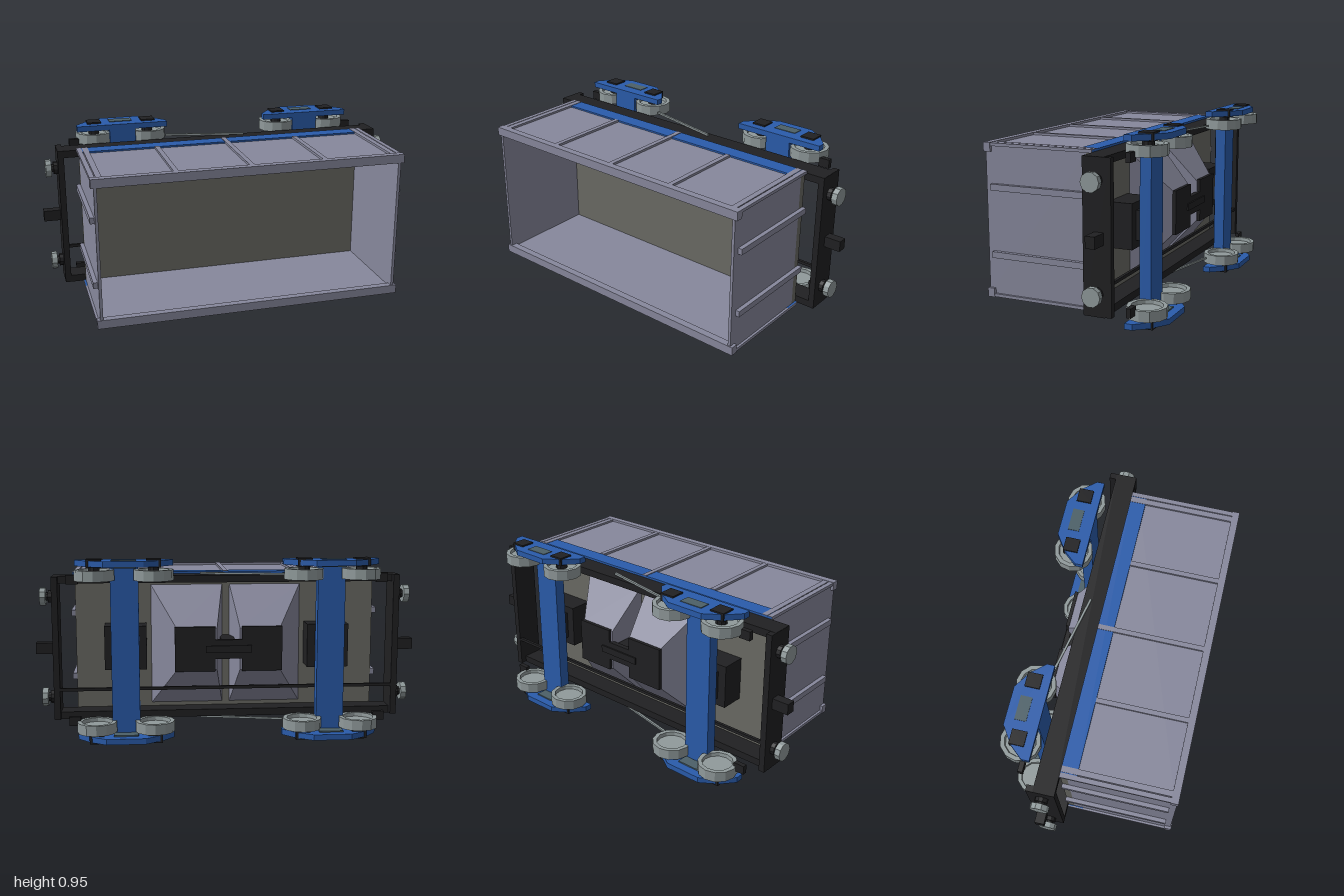
import * as THREE from 'three';

const mat = (color) => new THREE.MeshStandardMaterial({ color, flatShading: true });
const CY = 0.475; // wagon centre line; the wagon's own up direction is +z

export function createModel() {
  const root = new THREE.Group();
  const shell = mat(0x87889c), floorMat = mat(0x6a6a64), blue = mat(0x2a5cab);
  const black = mat(0x202022), steel = mat(0x909a9b), slate = mat(0x4c6068);

  const add = (name, geo, material, parent = root) => {
    const m = new THREE.Mesh(geo, material);
    m.name = name;
    parent.add(m);
    return m;
  };
  // box given by its extents on each axis
  const box = (name, material, x0, x1, y0, y1, z0, z1, parent = root) => {
    const m = add(name, new THREE.BoxGeometry(x1 - x0, y1 - y0, z1 - z0), material, parent);
    m.position.set((x0 + x1) / 2, (y0 + y1) / 2, (z0 + z1) / 2);
    return m;
  };
  // box at a distance d0..d1 from the centre line, on side s of the wagon
  const sideBox = (name, material, s, x0, x1, d0, d1, z0, z1, parent = root) =>
    box(name, material, x0, x1, CY + Math.min(s * d0, s * d1), CY + Math.max(s * d0, s * d1), z0, z1, parent);

  // Open body: floor, walls, rails and ribs
  box('floor', floorMat, -0.8, 0.8, 0.1, 0.85, -0.135, -0.1);
  for (const s of [-1, 1]) {
    sideBox('sideWall', shell, s, -0.8, 0.8, 0.36, 0.38, -0.1, 0.44);
    sideBox('topRail', shell, s, -0.815, 0.815, 0.347, 0.393, 0.422, 0.46);
    sideBox('sideStrip', blue, s, -0.81, 0.81, 0.375, 0.389, -0.135, -0.05);
    for (const x of [-0.39, 0, 0.39]) {
      sideBox('sideRib', shell, s, x - 0.013, x + 0.013, 0.375, 0.392, x ? -0.05 : -0.135, 0.422);
    }
    for (const e of [-1, 1]) {
      for (const [x, w] of [[0.768, 0.03], [0.8, 0.025]]) {
        sideBox('cornerRib', shell, s, e * x - w / 2, e * x + w / 2, 0.375, 0.391, -0.135, 0.422);
      }
    }
  }
  for (const e of [-1, 1]) {
    box('endWall', shell, e * 0.7925 - 0.0075, e * 0.7925 + 0.0075, 0.1, 0.85, -0.1, 0.455);
    for (const y of [0.305, 0.647]) {
      box('endRib', shell, e * 0.81 - 0.012, e * 0.81 + 0.012, y - 0.016, y + 0.016, -0.135, 0.422);
    }
  }

  // Underframe
  for (const s of [-1, 1]) sideBox('sill', black, s, -0.91, 0.91, 0.34, 0.378, -0.245, -0.135);
  box('brakePipe', black, -0.89, 0.89, 0.252, 0.268, -0.277, -0.262);
  for (const e of [-1, 1]) {
    box('headstock', black, e * 0.895 - 0.016, e * 0.895 + 0.016, 0.1, 0.852, -0.28, -0.135);
    box('coupler', black, e * 0.95 - 0.05, e * 0.95 + 0.05, 0.447, 0.505, -0.243, -0.193);
    for (const y of [0.21, 0.745]) {
      for (const [name, r, x, len, m] of [
        ['bufferBase', 0.034, 0.92, 0.025, black],
        ['bufferStem', 0.022, 0.935, 0.05, black],
        ['bufferHead', 0.048, 0.96, 0.03, steel],
      ]) {
        const b = add(name, new THREE.CylinderGeometry(r, r, len, 10).rotateZ(Math.PI / 2), m);
        b.position.set(e * x, y, -0.205);
      }
    }
  }

  // Discharge chutes: tapered boxes narrowing away from the floor
  for (const e of [-1, 1]) {
    const geo = new THREE.BoxGeometry(1, 1, 1);
    const p = geo.attributes.position;
    for (let i = 0; i < p.count; i++) {
      const wide = p.getZ(i) > 0;
      const outer = p.getX(i) * e > 0;
      const x = outer ? (wide ? 0.4 : 0.27) : (wide ? 0.02 : 0.06);
      p.setXYZ(i, e * x, CY + p.getY(i) * (wide ? 0.64 : 0.22), wide ? -0.135 : -0.325);
    }
    geo.computeVertexNormals();
    add('chute', geo, shell);
    box('chuteGate', black, Math.min(e * 0.07, e * 0.28), Math.max(e * 0.07, e * 0.28), 0.36, 0.593, -0.34, -0.322);
  }
  box('gatePost', black, -0.036, 0.036, 0.43, 0.52, -0.32, -0.135);
  box('gateLink', black, -0.1, 0.1, 0.425, 0.525, -0.34, -0.315);
  box('gateBar', black, -0.12, 0.12, 0.458, 0.495, -0.348, -0.335);

  // Brake levers
  for (const s of [-1, 1]) {
    const rod = box('brakeLever', steel, -0.22, 0.22, CY + s * 0.386 - 0.005, CY + s * 0.386 + 0.005, -0.006, 0.006);
    rod.position.x = -0.075;
    rod.position.z = -0.252;
    rod.rotation.y = -Math.atan2(0.09, 0.43);
  }

  // Wheel with dished faces
  const wheelGeo = new THREE.LatheGeometry([
    [0, 0.02], [0.078, 0.02], [0.08, 0], [0.102, 0], [0.102, 0.055], [0.08, 0.055], [0.076, 0.04], [0, 0.04],
  ].map(([r, y]) => new THREE.Vector2(r, y - 0.0275)), 12);
  // Arched bogie side frame
  const frameShape = new THREE.Shape([
    [-0.25, -0.285], [0.25, -0.285], [0.25, -0.325], [0.19, -0.395], [0.1, -0.455],
    [-0.1, -0.455], [-0.19, -0.395], [-0.25, -0.325],
  ].map(([x, z]) => new THREE.Vector2(x, z)));
  const frameGeo = new THREE.ExtrudeGeometry(frameShape, { depth: 0.03, bevelEnabled: false })
    .translate(0, 0, -0.015).rotateX(Math.PI / 2);

  for (const e of [-1, 1]) {
    const bogie = new THREE.Group();
    bogie.name = 'bogie';
    bogie.position.x = e * 0.535;
    root.add(bogie);
    box('bolster', blue, -0.072, 0.072, 0.03, 0.92, -0.345, -0.285, bogie);
    box('pivotPlate', black, -0.11, 0.11, 0.36, 0.59, -0.262, -0.135, bogie);
    box('pivot', black, -0.065, 0.065, 0.4, 0.55, -0.287, -0.26, bogie);
    for (const s of [-1, 1]) {
      add('sideFrame', frameGeo, blue, bogie).position.y = CY + s * 0.452;
      sideBox('spring', slate, s, -0.063, 0.063, 0.43, 0.47, -0.41, -0.35, bogie);
      for (const w of [-0.15, 0.15]) {
        const wheel = add('wheel', wheelGeo, steel, bogie);
        wheel.position.set(w, CY + s * 0.393, -0.36);
        if (s < 0) wheel.rotation.x = Math.PI;
        sideBox('axleBox', black, s, w - 0.038, w + 0.038, 0.432, 0.475, -0.405, -0.328, bogie);
        const stub = add('axleStub', new THREE.CylinderGeometry(0.03, 0.03, 0.04, 10), black, bogie);
        stub.position.set(w, CY + s * 0.42, -0.365);
      }
      // Bracket at the outer end of each bogie
      sideBox('brakeBracket', black, s, e * 0.265 - 0.03, e * 0.265 + 0.03, 0.345, 0.392, -0.34, -0.315, bogie);
    }
  }
  return root;
}
